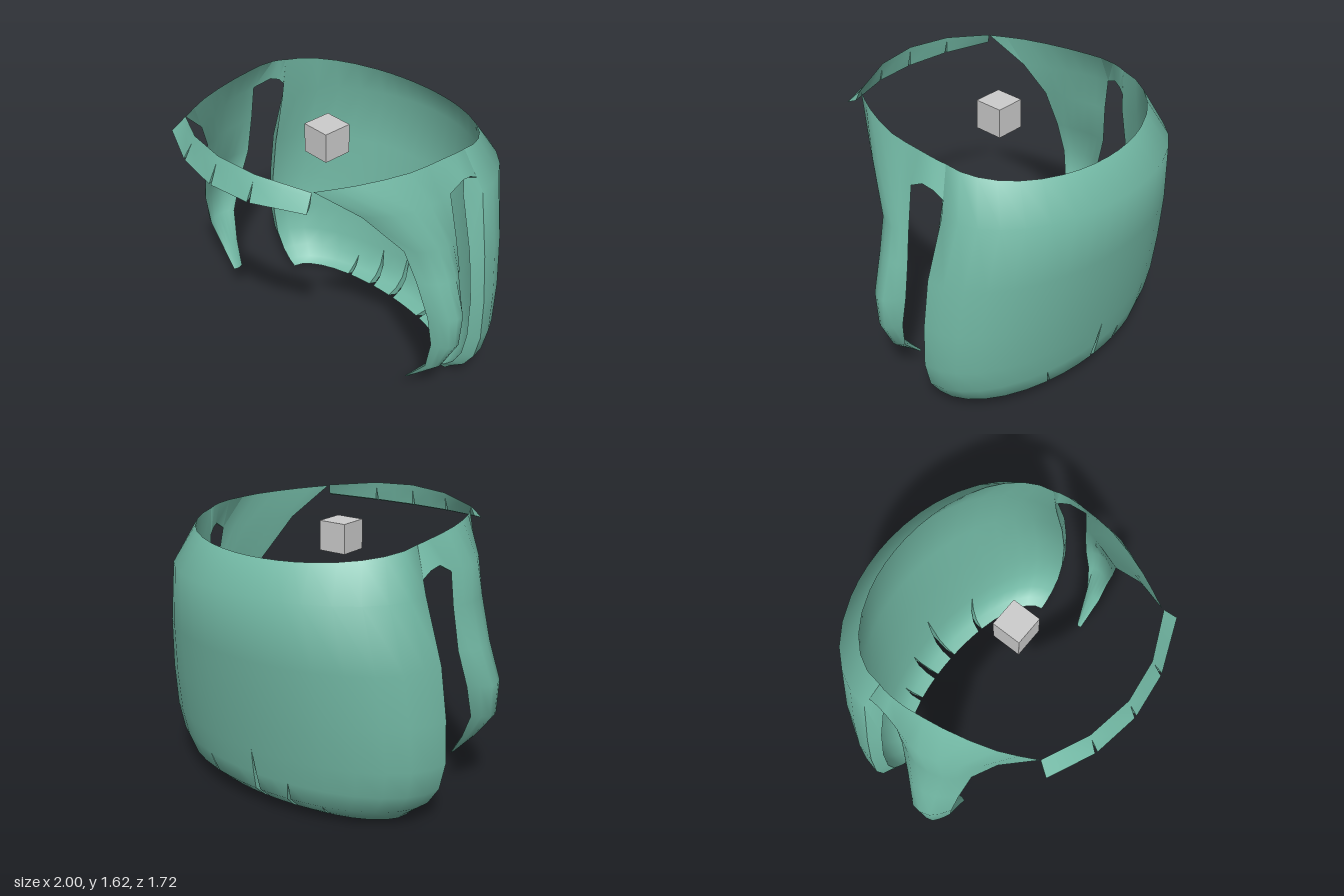
import * as THREE from 'three';
import { toCreasedNormals } from 'three/addons/utils/BufferGeometryUtils.js';

const V = (x, y, z) => new THREE.Vector3(x, y, z);

// Closed slab between an outer and an inner grid of points
function slab(outer, inner) {
  const pos = [];
  const tri = (a, b, c) => {
    const area = b.clone().sub(a).cross(c.clone().sub(a)).length();
    if (area > 1e-7) for (const p of [a, b, c]) pos.push(p.x, p.y, p.z);
  };
  const quad = (a, b, c, d) => { tri(a, b, c); tri(a, c, d); };
  const R = outer.length - 1, C = outer[0].length - 1;
  for (let r = 0; r < R; r++) {
    for (let c = 0; c < C; c++) {
      quad(outer[r][c], outer[r + 1][c], outer[r + 1][c + 1], outer[r][c + 1]);
      quad(inner[r][c], inner[r][c + 1], inner[r + 1][c + 1], inner[r + 1][c]);
    }
    quad(outer[r][0], inner[r][0], inner[r + 1][0], outer[r + 1][0]);
    quad(outer[r][C], outer[r + 1][C], inner[r + 1][C], inner[r][C]);
  }
  for (let c = 0; c < C; c++) {
    quad(outer[0][c], outer[0][c + 1], inner[0][c + 1], inner[0][c]);
    quad(outer[R][c], inner[R][c], inner[R][c + 1], outer[R][c + 1]);
  }
  return pos;
}

// Back shell sections: height, half width, back z, end z
const OUTER = [
  [1.32, 0.82, -0.86, -0.31], [0.95, 0.905, -0.83, -0.275], [0.65, 0.94, -0.79, -0.265],
  [0.39, 0.945, -0.75, -0.26], [0.23, 0.91, -0.72, -0.26], [0.12, 0.84, -0.695, -0.26],
  [0.04, 0.74, -0.61, -0.26], [0, 0.70, -0.55, -0.26],
];
const INNER = [
  [1.30, 0.75, -0.81, -0.235], [0.95, 0.83, -0.755, -0.235], [0.65, 0.87, -0.71, -0.23],
  [0.39, 0.87, -0.665, -0.23], [0.23, 0.84, -0.63, -0.23], [0.12, 0.78, -0.60, -0.23],
  [0.06, 0.72, -0.55, -0.23], [0.03, 0.67, -0.48, -0.23],
];
// Slits in the lower edge: apex height, apex angle, left and right angles at the bottom
const SLITS = [
  [0.12, -0.495, -0.56, -0.52], [0.23, -0.235, -0.27, -0.215],
  [0.39, 0.012, -0.005, 0.05], [0.23, 0.45, 0.41, 0.455],
];
const H = Math.PI / 2;

function slitAngle([top, apex, l, r], y, side) {
  const t = Math.max(0, 1 - y / top);
  return apex + ((side ? r : l) - apex) * t;
}

function shellPanel(i) {
  const n = [5, 2, 2, 3, 6][i];
  const grid = (rows) => {
    const at = (y, f) => {
      const a = i === 0 ? -H : slitAngle(SLITS[i - 1], y, 1);
      const b = i === 4 ? H : slitAngle(SLITS[i], y, 0);
      return a + (b - a) * f;
    };
    const fs = Array.from({ length: n + 1 }, (_, k) => k / n);
    const rim = fs.map((f) => {
      const a = at(2, f);
      return V(0.72 * Math.sin(a), 1.565 - 0.075 * Math.cos(a), -0.25 - 0.47 * Math.cos(a));
    });
    return [rim, ...rows.map(([y, w, zb, ze], r) => fs.map((f) => {
      const a = at(OUTER[r][0], f);
      return V(w * Math.sin(a), y, ze + (zb - ze) * Math.cos(a));
    }))].map((row) => row.reverse());
  };
  return slab(grid(OUTER), grid(INNER));
}

// Side lock rows: y, front z, front x, two middle x, back z, back x
const LEFT = [
  [1.583, 0.63, 0.52, 0.62, 0.715, -0.07, 0.735], [1.40, 0.42, 0.65, 0.755, 0.81, -0.07, 0.80],
  [1.14, 0.21, 0.75, 0.84, 0.88, -0.085, 0.85], [0.95, 0.175, 0.82, 0.905, 0.935, -0.095, 0.88],
  [0.73, 0.14, 0.88, 0.98, 1.0, -0.085, 0.90], [0.53, 0.11, 0.89, 0.98, 0.995, -0.055, 0.91],
  [0.34, 0.1, 0.85, 0.90, 0.905, -0.015, 0.87], [0.14, 0.085, 0.69, 0.70, 0.70, 0.05, 0.70],
];
const RIGHT = [
  [1.583, 0.64, 0.52, 0.62, 0.70, -0.07, 0.735], [1.40, 0.46, 0.64, 0.77, 0.85, -0.07, 0.82],
  [1.2, 0.36, 0.74, 0.84, 0.87, -0.05, 0.83], [0.95, 0.33, 0.83, 0.91, 0.935, -0.03, 0.86],
  [0.73, 0.31, 0.885, 0.985, 1.0, 0.03, 0.89], [0.53, 0.285, 0.88, 0.975, 0.98, 0.09, 0.89],
  [0.36, 0.26, 0.80, 0.85, 0.855, 0.14, 0.81], [0.22, 0.245, 0.72, 0.725, 0.725, 0.18, 0.72],
];

function lock(rows, side) {
  const grid = (thick) => rows.map(([y, zf, xf, x1, x2, zb, xb], r) => {
    const d = r === 0 ? 0 : thick * (r === rows.length - 1 ? 0.2 : 1);
    const z = (t) => zf + (zb - zf) * t;
    const row = new THREE.CatmullRomCurve3([
      V(side * xf, y, zf), V(side * (x1 - d), y, z(0.28)),
      V(side * (x2 - d), y, z(0.68)), V(side * xb, y, zb),
    ]).getPoints(6);
    return side > 0 ? row : row.reverse();
  });
  return slab(grid(0), grid(0.06));
}

// Short bridge over the ear opening, joining a lock to the shell
function bridge(rows, side) {
  const x = rows[1][6];
  const grid = (bottom) => [
    [V(0.735, 1.583, -0.07), V(0.735, 1.578, -0.16), V(0.73, 1.572, -0.21), V(0.72, 1.565, -0.25)],
    bottom,
  ].map((row) => {
    row.forEach((p) => { p.x *= side; });
    return side > 0 ? row : row.reverse();
  });
  return slab(
    grid([V(x, 1.40, -0.07), V(0.805, 1.45, -0.16), V(0.795, 1.435, -0.23), V(0.787, 1.40, -0.29)]),
    grid([V(x, 1.40, -0.07), V(0.765, 1.45, -0.16), V(0.745, 1.435, -0.21), V(0.739, 1.40, -0.24)]),
  );
}

// Fringe panel between two x fractions, with narrow notches at its sides
function fringePanel(i) {
  const cuts = [-1, -0.52, -0.02, 0.46, 1];
  const grid = (d) => [0, 0.25, 1].map((t) => {
    const gap = t === 1 ? 0.014 : 0;
    const a = cuts[i] + (i > 0 ? gap : 0), b = cuts[i + 1] - (i < 3 ? gap : 0);
    return [a, (a + b) / 2, b].map((u, k) => {
      const q = k === 1 ? (a * a + b * b) / 2 : u * u;
      const top = V(0.52 * u, 1.622 - 0.037 * q, 0.80 - 0.16 * q);
      const low = V(0.56 * u, 1.48 + 0.027 * q, 0.865 - 0.155 * q);
      const p = top.lerp(low, t);
      return V(p.x * (1 - d * t), p.y + d * 0.35 * t, p.z - d * t);
    });
  });
  return slab(grid(0), grid(0.045));
}

export function createModel() {
  const group = new THREE.Group();
  const green = new THREE.MeshStandardMaterial({ color: 0x72b8a4, side: THREE.DoubleSide });
  green.name = 'sage green';
  const grey = new THREE.MeshStandardMaterial({ color: 0xcccccc });
  grey.name = 'light grey';

  const add = (name, pos, angle = 1.05) => {
    const geo = new THREE.BufferGeometry();
    geo.setAttribute('position', new THREE.Float32BufferAttribute(pos, 3));
    const mesh = new THREE.Mesh(toCreasedNormals(geo, angle), green);
    mesh.name = name;
    group.add(mesh);
  };

  add('backHair', [0, 1, 2, 3, 4].flatMap(shellPanel));
  add('leftLock', [...lock(LEFT, 1), ...bridge(LEFT, 1)]);
  add('rightLock', [...lock(RIGHT, -1), ...bridge(RIGHT, -1)]);
  add('fringe', [0, 1, 2, 3].flatMap(fringePanel), 0.6);

  // Small cube in the middle
  const cube = new THREE.Mesh(new THREE.BoxGeometry(0.175, 0.175, 0.175), grey);
  cube.name = 'centreCube';
  cube.position.set(0, 1.448, 0.068);
  group.add(cube);
  return group;
}
